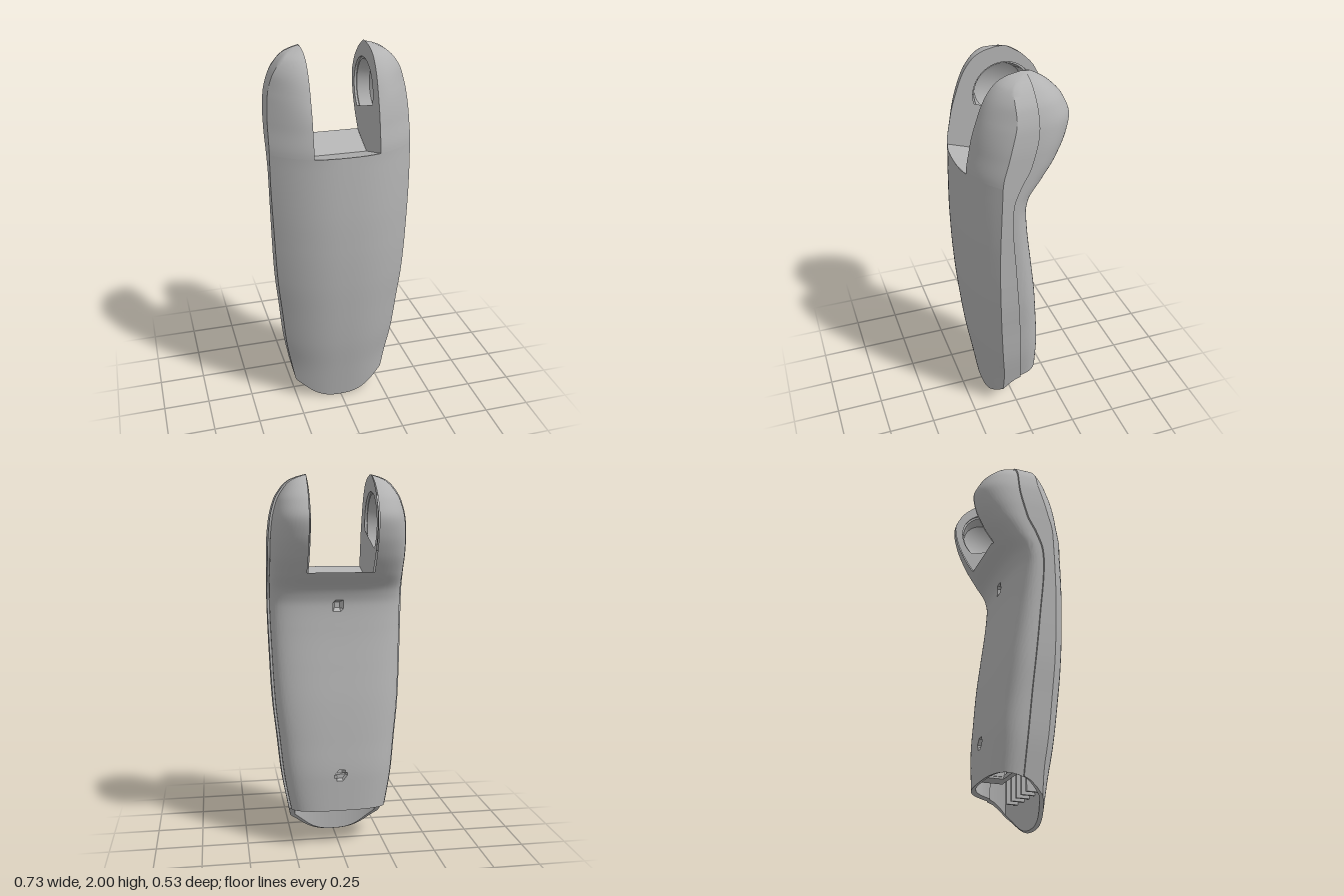
import * as THREE from 'three';
import { toCreasedNormals } from 'three/addons/utils/BufferGeometryUtils.js';

const SLOT_X = 0.168, SLOT_Y = 1.51;
const HOLE = { y: 1.755, z: -0.06, r: 0.16 };
const SCREWS = [1.33, 0.42];

// Monotone smooth interpolation through [position, value] pairs
function curve(pts) {
  const s = pts.slice(1).map((p, i) => (p[1] - pts[i][1]) / (p[0] - pts[i][0]));
  const m = pts.map((_, i) => {
    if (i === 0) return s[0];
    if (i === s.length) return s[i - 1];
    return s[i - 1] * s[i] <= 0 ? 0 : (2 * s[i - 1] * s[i]) / (s[i - 1] + s[i]);
  });
  return (v) => {
    const q = Math.min(Math.max(v, pts[0][0]), pts[pts.length - 1][0]);
    let i = 0;
    while (i < s.length - 1 && q > pts[i + 1][0]) i++;
    const h = pts[i + 1][0] - pts[i][0], t = (q - pts[i][0]) / h, t2 = t * t, t3 = t2 * t;
    return (2 * t3 - 3 * t2 + 1) * pts[i][1] + (t3 - 2 * t2 + t) * h * m[i]
      + (3 * t2 - 2 * t3) * pts[i + 1][1] + (t3 - t2) * h * m[i + 1];
  };
}

// Outline by height: half width, front, back, seam, and how far the front curves back
const width = curve([[0, 0.22], [0.1, 0.25], [0.2, 0.27], [0.4, 0.305], [0.6, 0.325], [0.8, 0.345], [1, 0.355],
  [1.4, 0.366], [1.65, 0.364], [1.77, 0.355], [1.87, 0.33], [1.93, 0.295], [1.97, 0.255], [1.99, 0.21], [2, 0.172]]);
const front = curve([[0, 0.135], [0.2, 0.17], [0.4, 0.205], [0.6, 0.23], [0.8, 0.25], [1, 0.262], [1.2, 0.267],
  [1.51, 0.262], [1.65, 0.23], [1.77, 0.192], [1.87, 0.155], [1.95, 0.1], [1.985, 0.04], [2, -0.03]]);
const back = curve([[0, -0.15], [0.4, -0.15], [0.6, -0.135], [0.8, -0.115], [1, -0.087], [1.2, -0.06], [1.33, -0.05],
  [1.4, -0.067], [1.5, -0.145], [1.6, -0.212], [1.7, -0.252], [1.78, -0.264], [1.87, -0.23], [1.95, -0.155], [1.985, -0.1], [2, -0.07]]);
const seam = curve([[0, -0.02], [0.2, -0.015], [0.6, 0.01], [1, 0.045], [1.33, 0.07], [1.4, 0.065], [1.5, 0.03],
  [1.6, -0.02], [1.8, -0.06], [2, -0.05]]);
const bow = curve([[0, 0.05], [0.3, 0.1], [1, 0.13], [1.6, 0.14], [1.8, 0.13], [2, 0.03]]);
const bottomCut = curve([[-0.16, 0.222], [-0.1, 0.215], [-0.05, 0.205], [0, 0.19], [0.055, 0.15], [0.1, 0.09], [0.135, 0]]);

const NF = 14, NS = 3, NB = 40, HALF = NF + NS + NB + 1;

// Point j of the half section at height y, from the front (x = x1) round to the back (x = x1)
function section(y, j, x1) {
  const W = width(y), F = front(y), B = back(y), S = seam(y);
  const k = THREE.MathUtils.smoothstep(y, 1.45, 1.8), x0 = SLOT_X * k;
  const drop = Math.min(bow(y), 0.8 * (F - S));
  if (j <= NF) {
    const x = x1 + (W - x1) * j / NF, u = Math.max(0, (x - x0) / (W - x0));
    return [x, F - drop * u ** (2.5 - 0.5 * k)];
  }
  if (j <= NF + NS) return [W, THREE.MathUtils.lerp(F - drop, S, (j - NF) / NS)];
  const Wb = Math.max(W - 0.012, x1 + 0.002), n = 3 - 0.8 * k;
  const a = (j - NF - NS - 1) / NB * Math.PI / 2;
  const x = x1 + (Wb - x1) * Math.cos(a);
  const u = THREE.MathUtils.clamp((x - x0) / (Wb - x0), 0, 1);
  return [x, S - (S - B) * (1 - u ** n) ** (1 / n)];
}

// Surface through rows of points; columns run anticlockwise seen from above
function grid(rows, cols, point) {
  const pos = [], index = [];
  for (let i = 0; i <= rows; i++) for (let j = 0; j <= cols; j++) pos.push(...point(i, j));
  for (let i = 0; i < rows; i++) for (let j = 0; j < cols; j++) {
    const a = i * (cols + 1) + j, b = a + 1, c = b + cols + 1, d = c - 1;
    index.push(a, b, c, a, c, d);
  }
  const g = new THREE.BufferGeometry();
  g.setAttribute('position', new THREE.Float32BufferAttribute(pos, 3));
  g.setIndex(index);
  return toCreasedNormals(g, 0.6);
}

export function createModel() {
  const model = new THREE.Group();
  const grey = new THREE.MeshStandardMaterial({ color: 0xb3b3b3, side: THREE.DoubleSide });
  grey.name = 'grey casing';
  const add = (name, geometry, parent = model) => {
    const mesh = new THREE.Mesh(geometry, grey);
    mesh.name = name;
    parent.add(mesh);
    return mesh;
  };

  // Full loop around the body, both sides mirrored
  const cols = 2 * HALF - 1;
  const around = (y, j) => {
    const right = j < HALF, [x, z] = section(y, right ? j : cols - j, 0);
    return [right ? x : -x, z];
  };
  const startY = [];
  for (let j = 0; j <= cols; j++) {
    let y = 0.1;
    for (let n = 0; n < 16; n++) y = 0.5 * (y + bottomCut(around(y, j)[1]));
    startY.push(y);
  }

  // Body shell with two screw dents in the back
  const rows = 84;
  add('body', grid(rows, cols, (i, j) => {
    const y = THREE.MathUtils.lerp(startY[j], SLOT_Y, i / rows);
    let [x, z] = around(y, j);
    if (z < seam(y) - 0.03 && SCREWS.some((s) => Math.hypot(x, y - s) < 0.026)) z += 0.045;
    return [x, y, z];
  }));

  // Hollow underside: rim, inner wall and roof
  const roofY = 0.42;
  add('lowerSocket', grid(3, cols, (i, j) => {
    const y = startY[j], [x, z] = around(y, j);
    if (i === 0) return [x, y, z];
    if (i === 1) return [x * 0.9, y + 0.008, 0.01 + (z - 0.01) * 0.86];
    if (i === 2) return [x * 0.88, roofY, 0.02 + (z - 0.02) * 0.86];
    return [0, roofY, 0.02];
  }));
  for (let i = -2; i <= 2; i++) {
    add('socketRib', new THREE.BoxGeometry(0.014, 0.24, 0.07)).position.set(i * 0.07, 0.28, 0.08);
  }
  for (const s of [-1, 1]) {
    add('socketFrameSide', new THREE.BoxGeometry(0.1, 0.02, 0.13)).position.set(s * 0.12, 0.28, -0.05);
    add('socketFrameWall', new THREE.BoxGeometry(0.012, 0.14, 0.12)).position.set(s * 0.07, 0.35, -0.05);
  }
  add('socketFrameBar', new THREE.BoxGeometry(0.34, 0.02, 0.03)).position.set(0, 0.28, 0.02);

  // Slot floor: shallow valley between the fork arms
  add('slotFloor', grid(2, 16, (i, j) => {
    const x = THREE.MathUtils.lerp(-SLOT_X, SLOT_X, j / 16), W = width(SLOT_Y);
    const zf = front(SLOT_Y) - bow(SLOT_Y) * (Math.abs(x) / W) ** 2.5;
    return [x, i === 1 ? 1.44 : SLOT_Y, [zf, 0.015, back(SLOT_Y)][i]];
  }));

  // Fork arms
  const armRows = 44, armY = (i) => SLOT_Y + (2 - SLOT_Y) * Math.sin(i / armRows * Math.PI / 2);
  const armGeometry = grid(armRows, HALF - 1, (i, j) => {
    const y = armY(i), [x, z] = section(y, j, SLOT_X);
    return [x, y, z];
  });

  // Flat inner face with a round opening, drawn in (-z, y) and turned to face the slot
  const face = new THREE.Shape(), edge = [];
  for (let i = 0; i <= armRows; i++) edge.push([-section(armY(i), 0, SLOT_X)[1], armY(i)]);
  for (let i = armRows; i >= 0; i--) edge.push([-section(armY(i), HALF - 1, SLOT_X)[1], armY(i)]);
  edge.push([-0.015, 1.44]);
  face.setFromPoints(edge.map(([x, y]) => new THREE.Vector2(x, y)));
  const hole = new THREE.Path();
  hole.absarc(-HOLE.z, HOLE.y, HOLE.r, 0, Math.PI * 2, true);
  face.holes.push(hole);
  const faceGeometry = new THREE.ShapeGeometry(face, 32);
  faceGeometry.rotateY(Math.PI / 2);

  // Bowl-shaped recess behind the opening
  const bowlGeometry = toCreasedNormals(new THREE.LatheGeometry(
    [[0, 0.115], [0.09, 0.105], [0.13, 0.075], [0.148, 0.02], [0.15, 0.012], [HOLE.r, 0.012], [HOLE.r, 0]]
      .map(([r, d]) => new THREE.Vector2(r, d)), 48), 0.6);
  bowlGeometry.rotateZ(-Math.PI / 2);

  for (const side of [1, -1]) {
    const arm = new THREE.Group();
    arm.name = side > 0 ? 'leftForkArm' : 'rightForkArm';
    arm.scale.x = side;
    add('armShell', armGeometry, arm);
    add('armInnerFace', faceGeometry, arm).position.x = SLOT_X;
    add('pivotRecess', bowlGeometry, arm).position.set(SLOT_X, HOLE.y, HOLE.z);
    model.add(arm);
  }
  return model;
}
